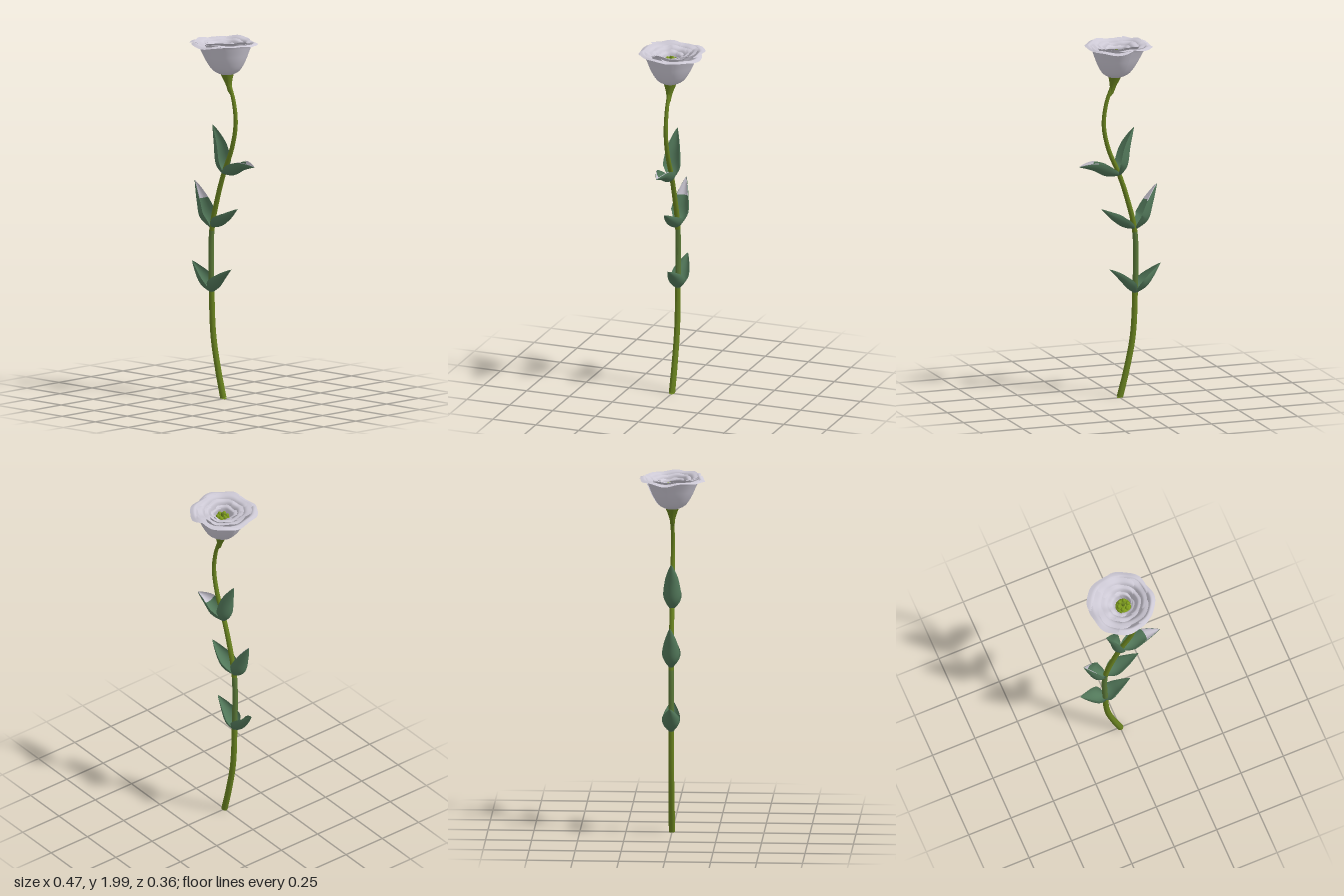
import * as THREE from 'three';

const mat = (name, color, side = THREE.DoubleSide) => {
  const m = new THREE.MeshStandardMaterial({ color, side });
  m.name = name;
  return m;
};
const V = (x, y, z = 0) => new THREE.Vector3(x, y, z);
const curve = (pts) => new THREE.CatmullRomCurve3(pts.map(([x, y]) => V(x, y)));

// Smooth surface from a rule f(u, v) -> Vector3, with u and v in 0..1
function surface(f, nu, nv) {
  const pos = [], idx = [];
  for (let j = 0; j <= nv; j++)
    for (let i = 0; i <= nu; i++) pos.push(...f(i / nu, j / nv).toArray());
  for (let j = 0; j < nv; j++)
    for (let i = 0; i < nu; i++) {
      const a = j * (nu + 1) + i, b = a + nu + 1;
      idx.push(a, a + 1, b, a + 1, b + 1, b);
    }
  const g = new THREE.BufferGeometry();
  g.setAttribute('position', new THREE.Float32BufferAttribute(pos, 3));
  g.setIndex(idx);
  g.computeVertexNormals();
  return g;
}

export function createModel() {
  const root = new THREE.Group();
  root.name = 'flower';
  const stemGreen = mat('stem green', 0x68811f);
  const nodeGreen = mat('middle stem green', 0x5a7838);
  const leafGreen = mat('leaf green', 0x52785a);
  const petalWhite = mat('petal white', 0xcdc9d5);
  const heartGreen = mat('heart green', 0x7d9c1c);

  const add = (parent, name, geo, m) => {
    const mesh = new THREE.Mesh(geo, m);
    mesh.name = name;
    parent.add(mesh);
    return mesh;
  };

  // Stem: one tapering curve, cut in three sections
  const path = curve([[0, 0.005], [-0.04, 0.16], [-0.075, 0.34], [-0.088, 0.58], [-0.087, 0.92],
    [-0.045, 1.1], [0.005, 1.25], [0.065, 1.39], [0.093, 1.53], [0.078, 1.65], [0.05, 1.73], [0.03, 1.79]]);
  const stemPart = (name, t0, t1, m) => add(root, name, surface((u, v) => {
    const t = t0 + (t1 - t0) * v, p = path.getPoint(t), d = path.getTangent(t);
    const r = 0.0175 - 0.008 * t, a = -u * Math.PI * 2;
    const c = Math.cos(a) * r;
    return V(p.x + d.y * c, p.y - d.x * c, Math.sin(a) * r);
  }, 14, 28), m);
  stemPart('lowerStem', 0, 3 / 11, stemGreen);
  stemPart('middleStem', 3 / 11, 4 / 11, nodeGreen);
  stemPart('upperStem', 4 / 11, 1, stemGreen);
  const foot = add(root, 'stemEnd', new THREE.CircleGeometry(0.0175, 14), stemGreen);
  foot.rotation.set(Math.PI / 2, -0.24, 0);
  foot.position.y = 0.005;

  // Leaves: cupped blades along a keel, open towards the stem
  function leaf(name, side, keelPts, depth, whiteFrom) {
    const keel = curve(keelPts);
    const blade = (t0, lift) => (u, v) => {
      const t = t0 + (1 - t0) * v, p = keel.getPoint(t), d = keel.getTangent(t);
      const s = (u * 2 - 1) * Math.PI / 2;
      const swell = Math.pow(Math.max(0, Math.sin(Math.PI * Math.pow(t, 0.75))), 0.85);
      const w = (0.046 * swell + 0.004 * (1 - t)) - lift * 0.5;
      const up = depth * swell * (1 - Math.cos(s)) + lift;
      return V(p.x - side * d.y * up, p.y + side * d.x * up, w * Math.sin(s));
    };
    const g = new THREE.Group();
    g.name = name;
    root.add(g);
    add(g, 'leafBlade', surface(blade(0, 0), 14, 22), leafGreen);
    if (whiteFrom) add(g, 'paleLeafTip', surface(blade(whiteFrom, 0.003), 14, 10), petalWhite);
  }
  leaf('topLeafRight', -1, [[0.003, 1.235], [-0.04, 1.29], [-0.06, 1.4], [-0.083, 1.505]], 0.058);
  leaf('topLeafLeft', 1, [[0, 1.24], [0.08, 1.243], [0.155, 1.28], [0.235, 1.305]], 0.06, 0.66);
  leaf('middleLeafRight', -1, [[-0.09, 0.93], [-0.16, 0.98], [-0.19, 1.07], [-0.217, 1.18]], 0.064, 0.7);
  leaf('middleLeafLeft', 1, [[-0.085, 0.935], [-0.02, 0.95], [0.045, 0.995], [0.108, 1.06]], 0.052);
  leaf('lowerLeafRight', -1, [[-0.088, 0.575], [-0.15, 0.61], [-0.195, 0.665], [-0.237, 0.735]], 0.054);
  leaf('lowerLeafLeft', 1, [[-0.088, 0.575], [-0.045, 0.605], [0, 0.655], [0.06, 0.72]], 0.05);

  // Calyx: flared cup under the bloom, leaning with the stem
  const calyx = curve([[0.011, 1.69], [0.016, 1.735], [0.028, 1.775], [0.042, 1.81]]);
  add(root, 'calyx', surface((u, v) => {
    const p = calyx.getPoint(v), a = -u * Math.PI * 2;
    const r = p.x * (1 + 0.06 * v * Math.cos(5 * a));
    return V(0.062 - 0.036 * Math.sqrt(v) + r * Math.cos(a), p.y + 0.008 * v * Math.cos(5 * a), r * Math.sin(a));
  }, 40, 10), stemGreen);

  // Bloom: rings of overlapping petals, each swept along a flaring profile
  const bloom = new THREE.Group();
  bloom.name = 'bloom';
  root.add(bloom);
  function petalRing(name, count, turn, overlap, wave, profile) {
    const prof = curve(profile);
    for (let k = 0; k < count; k++) {
      const mid = turn + k * Math.PI * 2 / count;
      add(bloom, name, surface((u, v) => {
        const s = u * 2 - 1, a = mid - s * overlap * Math.PI / count;
        const p = prof.getPoint(v * (1 - 0.13 * Math.pow(Math.abs(s), 5)));
        const r = p.x * (1 + v * v * (0.025 * Math.sin(3 * a + k) + 0.015 * Math.sin(8 * a))) + 0.005 * s * v;
        const y = p.y + wave * v * v * (Math.sin(2 * a + k * 1.7) + 0.5 * Math.sin(7 * a + turn));
        return V(0.028 - 0.024 * v + r * Math.cos(a), y, r * Math.sin(a));
      }, 28, 18), petalWhite);
    }
  }
  petalRing('outerPetal', 5, 0.4, 1.4, 0.008,
    [[0.026, 1.79], [0.072, 1.815], [0.108, 1.87], [0.134, 1.93], [0.155, 1.968], [0.182, 1.962]]);
  petalRing('middlePetal', 5, 1.1, 1.35, 0.006,
    [[0.03, 1.83], [0.075, 1.88], [0.098, 1.93], [0.118, 1.968], [0.148, 1.978]]);
  petalRing('innerPetal', 4, 0.2, 1.35, 0.005,
    [[0.025, 1.85], [0.06, 1.89], [0.072, 1.935], [0.086, 1.962], [0.108, 1.968]]);
  petalRing('heartPetal', 4, 0.9, 1.3, 0.005,
    [[0.02, 1.86], [0.044, 1.885], [0.048, 1.92], [0.054, 1.945], [0.07, 1.952]]);

  // Green heart: a low dome with small lobes around a pistil
  const heart = new THREE.Group();
  heart.name = 'heart';
  heart.position.set(0.018, 1.905, 0);
  bloom.add(heart);
  add(heart, 'heartDome', new THREE.SphereGeometry(0.043, 20, 10), heartGreen).scale.y = 0.45;
  for (let i = 0; i < 6; i++) {
    const a = i * Math.PI / 3;
    const lobe = add(heart, 'stamen', new THREE.SphereGeometry(0.011, 10, 8), heartGreen);
    lobe.position.set(0.026 * Math.cos(a), 0.018, 0.026 * Math.sin(a));
    lobe.scale.y = 1.5;
  }
  add(heart, 'pistil', new THREE.CylinderGeometry(0.008, 0.01, 0.04, 10), stemGreen).position.y = 0.022;

  return root;
}
